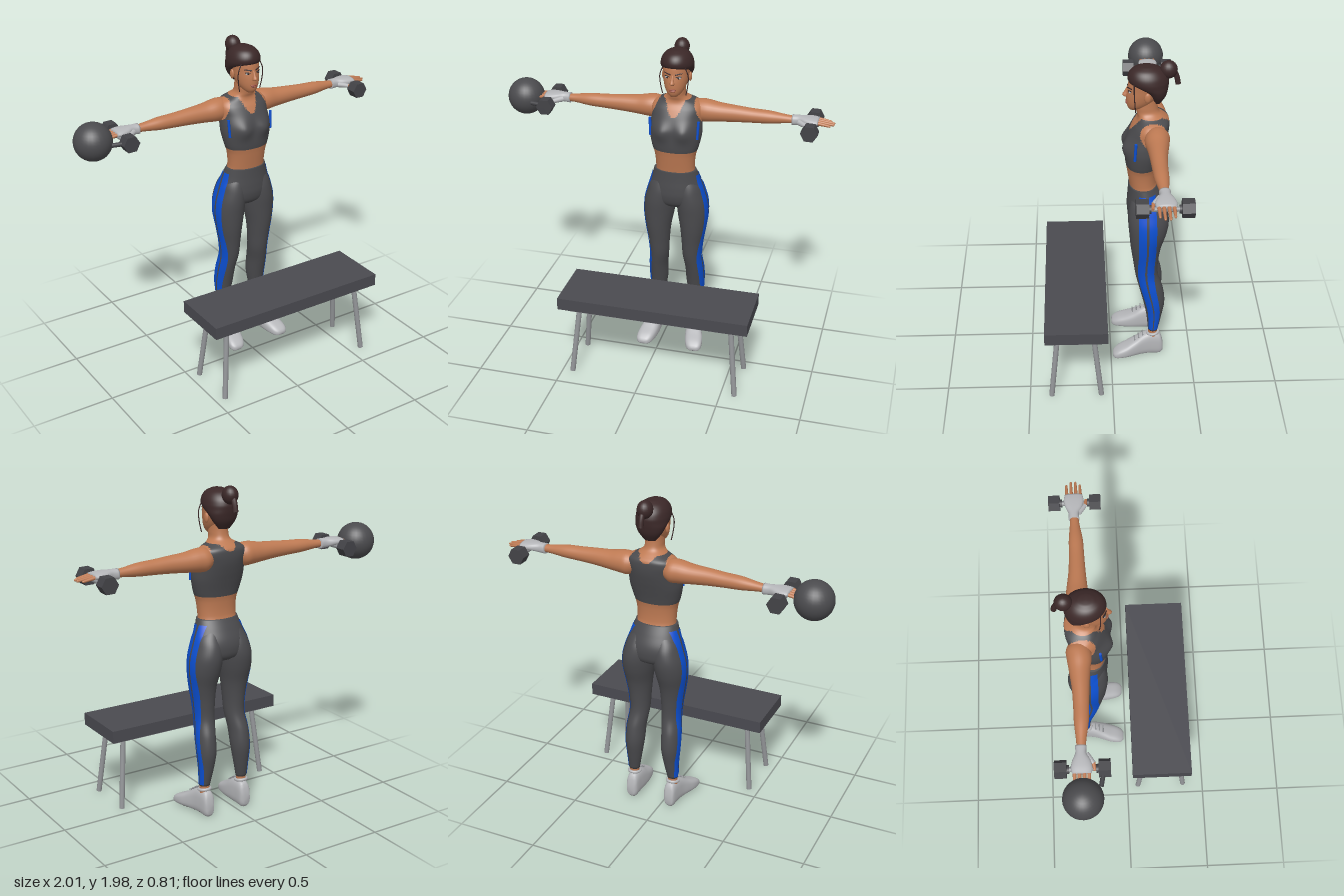
import * as THREE from 'three';

const mat = (name, color, side = THREE.FrontSide) => {
  const m = new THREE.MeshStandardMaterial({ color, side });
  m.name = name;
  return m;
};

// Smooth interpolation of section rows [t, a0, a1, b0, b1]; a 4-value row means b is -w..w
function section(rows, t) {
  const R = rows.map(r => (r.length === 4 ? [r[0], r[1], r[2], -r[3], r[3]] : r));
  let i = 0;
  while (i < R.length - 2 && t > R[i + 1][0]) i++;
  const h = R[i + 1][0] - R[i][0], u = (t - R[i][0]) / h, u2 = u * u, u3 = u2 * u;
  const slope = (k, c) => {
    const p = R[Math.max(k - 1, 0)], q = R[Math.min(k + 1, R.length - 1)];
    return (q[c] - p[c]) / (q[0] - p[0]);
  };
  return [1, 2, 3, 4].map(c => (2 * u3 - 3 * u2 + 1) * R[i][c] + (u3 - 2 * u2 + u) * h * slope(i, c)
    + (3 * u2 - 2 * u3) * R[i + 1][c] + (u3 - u2) * h * slope(i + 1, c));
}

// Closed loft along an axis through rounded sections (axis y: a = z, b = x; x: a = y, b = z; z: a = x, b = y)
function loft(axis, rows, rings = 32, segs = 32, exp = 2) {
  const pos = [], idx = [];
  const put = (t, a, b) => pos.push(...(axis === 'y' ? [b, t, a] : axis === 'x' ? [t, a, b] : [a, b, t]));
  const t0 = rows[0][0], t1 = rows[rows.length - 1][0];
  const bend = v => Math.sign(v) * Math.abs(v) ** (2 / exp);
  for (let i = 0; i <= rings; i++) {
    const t = t0 + (t1 - t0) * i / rings, [a0, a1, b0, b1] = section(rows, t);
    for (let j = 0; j < segs; j++) {
      const w = j / segs * Math.PI * 2;
      put(t, (a0 + a1) / 2 + (a1 - a0) / 2 * bend(Math.cos(w)), (b0 + b1) / 2 + (b1 - b0) / 2 * bend(Math.sin(w)));
    }
  }
  for (let i = 0; i < rings; i++) for (let j = 0; j < segs; j++) {
    const p = i * segs + j, q = i * segs + (j + 1) % segs;
    idx.push(p, q, q + segs, p, q + segs, p + segs);
  }
  const n = (rings + 1) * segs, top = rings * segs;
  for (const t of [t0, t1]) {
    const [a0, a1, b0, b1] = section(rows, t);
    put(t, (a0 + a1) / 2, (b0 + b1) / 2);
  }
  for (let j = 0; j < segs; j++) {
    const k = (j + 1) % segs;
    idx.push(n, k, j, n + 1, top + j, top + k);
  }
  const g = new THREE.BufferGeometry();
  g.setAttribute('position', new THREE.Float32BufferAttribute(pos, 3));
  g.setIndex(idx);
  g.computeVertexNormals();
  return g;
}

// Sorts triangles into two material groups by a rule on centre and normal
function paint(g, rule) {
  const sets = [[], []], ix = g.index.array, P = g.attributes.position;
  const v = [0, 1, 2].map(() => new THREE.Vector3()), tri = new THREE.Triangle(...v);
  const c = new THREE.Vector3(), nrm = new THREE.Vector3();
  for (let i = 0; i < ix.length; i += 3) {
    v.forEach((p, k) => p.fromBufferAttribute(P, ix[i + k]));
    tri.setFromPointsAndIndices(v, 0, 1, 2);
    tri.getMidpoint(c); tri.getNormal(nrm);
    sets[rule(c, nrm) ? 1 : 0].push(ix[i], ix[i + 1], ix[i + 2]);
  }
  g.setIndex([...sets[0], ...sets[1]]);
  g.addGroup(0, sets[0].length, 0);
  g.addGroup(sets[0].length, sets[1].length, 1);
  return g;
}

function mirrored(geo) {
  const g = geo.clone().scale(-1, 1, 1), ix = g.index.array;
  for (let i = 0; i < ix.length; i += 3) [ix[i + 1], ix[i + 2]] = [ix[i + 2], ix[i + 1]];
  return g;
}

function rod(p, q, r0, r1 = r0, sides = 14) {
  const a = new THREE.Vector3(...p), b = new THREE.Vector3(...q), d = b.clone().sub(a);
  const g = new THREE.CylinderGeometry(r1, r0, d.length(), sides);
  g.applyQuaternion(new THREE.Quaternion().setFromUnitVectors(new THREE.Vector3(0, 1, 0), d.normalize()));
  return g.translate(...a.add(b).multiplyScalar(0.5).toArray());
}
const blob = (x, y, z, a, b, c) => new THREE.SphereGeometry(1, 20, 14).scale(a, b, c).translate(x, y, z);
const box = (x0, x1, y0, y1, z0, z1) =>
  new THREE.BoxGeometry(x1 - x0, y1 - y0, z1 - z0).translate((x0 + x1) / 2, (y0 + y1) / 2, (z0 + z1) / 2);

export function createModel() {
  const skin = mat('skin', 0xbe7a53), hairMat = mat('hair', 0x3b2828), fabric = mat('fabric', 0x4b4b4e);
  const blue = mat('blue trim', 0x0c4fd0, THREE.DoubleSide), pale = mat('pale grey', 0xb5b6b9);
  const steel = mat('steel', 0x929497), pad = mat('bench padding', 0x4a4a50), iron = mat('iron', 0x434347);
  const lip = mat('lips', 0x9c5345), dark = mat('dark rubber', 0x2a2223);

  const model = new THREE.Group(), figure = new THREE.Group(), bench = new THREE.Group();
  figure.name = 'athlete'; bench.name = 'bench';
  figure.position.x = 0.07;
  model.add(figure, bench);
  const add = (name, geo, m, parent = figure) => {
    const mesh = new THREE.Mesh(geo, m);
    mesh.name = name;
    parent.add(mesh);
  };
  const pair = (name, geo, m) => {
    add('left ' + name, geo, m);
    add('right ' + name, mirrored(geo), m);
  };

  // Bench
  add('seat', box(-0.51, 0.65, 0.45, 0.525, 0.03, 0.4), pad, bench);
  for (const z of [0.1, 0.32]) add('long rail', box(-0.46, 0.61, 0.415, 0.45, z, z + 0.03), steel, bench);
  for (const x of [-0.46, 0.58]) add('end rail', box(x, x + 0.03, 0.415, 0.45, 0.13, 0.32), steel, bench);
  for (const s of [-1, 1]) for (const k of [-1, 1])
    add('bench leg', rod([0.073 + s * 0.51, 0, 0.22 + k * 0.15], [0.073 + s * 0.468, 0.425, 0.22 + k * 0.106], 0.016), steel, bench);

  // Torso with sports top
  const torso = loft('y', [
    [1.17, -0.28, -0.115, 0.122], [1.22, -0.267, -0.108, 0.118], [1.3, -0.268, -0.095, 0.125],
    [1.36, -0.28, -0.085, 0.143], [1.43, -0.3, -0.083, 0.157], [1.48, -0.315, -0.086, 0.157],
    [1.54, -0.33, -0.105, 0.152], [1.59, -0.335, -0.13, 0.155], [1.62, -0.33, -0.15, 0.135],
    [1.643, -0.305, -0.155, 0.085], [1.665, -0.278, -0.148, 0.058], [1.7, -0.267, -0.142, 0.052],
    [1.77, -0.265, -0.15, 0.05]], 110, 80, 2.2);
  const tp = torso.attributes.position;
  for (let i = 0; i < tp.count; i++) {
    const x = Math.abs(tp.getX(i)), y = tp.getY(i), z = tp.getZ(i);
    if (z > -0.2) tp.setZ(i, z + 0.024 * Math.exp(-((x - 0.07) ** 2) / 0.0025 - ((y - 1.46) ** 2) / 0.003));
  }
  torso.computeVertexNormals();
  const isTop = ({ x, y, z }) => {
    const ax = Math.abs(x), neck = z > -0.22 ? 1.55 + 28 * x * x : 1.605 + 14 * x * x;
    return y > 1.335 && y < Math.min(neck, 1.645) && (y < 1.51 || ax < 0.155 - (y - 1.51) * 0.4);
  };
  add('torso and sports top', paint(torso, isTop), [skin, fabric]);
  pair('side trim', rod([0.142, 1.42, -0.135], [0.148, 1.53, -0.14], 0.008, 0.008), blue);

  // Leggings
  const hips = [
    [0.955, -0.29, -0.14, 0.09], [0.98, -0.325, -0.115, 0.16], [1.03, -0.338, -0.1, 0.174], [1.08, -0.332, -0.099, 0.167],
    [1.14, -0.305, -0.103, 0.148], [1.2, -0.272, -0.106, 0.13]];
  const leg = [
    [0.19, -0.292, -0.232, 0.098, 0.164], [0.3, -0.315, -0.22, 0.077, 0.168], [0.4, -0.33, -0.2, 0.062, 0.175],
    [0.5, -0.318, -0.175, 0.058, 0.173], [0.6, -0.287, -0.15, 0.046, 0.164], [0.7, -0.286, -0.135, 0.04, 0.172],
    [0.8, -0.3, -0.12, 0.03, 0.188], [0.9, -0.33, -0.11, 0.012, 0.2], [0.98, -0.343, -0.103, 0.004, 0.195],
    [1.05, -0.333, -0.105, 0.003, 0.176], [1.1, -0.31, -0.115, 0.008, 0.158], [1.15, -0.28, -0.13, 0.012, 0.12]];
  add('hips', loft('y', hips, 40, 56), fabric);
  pair('leg', loft('y', leg, 64, 40), fabric);

  // Side stripes laid just over the outer surface of hip and leg
  const outer = (rows, y, z) => {
    if (y < rows[0][0] || y > rows[rows.length - 1][0]) return 0;
    const [a0, a1, b0, b1] = section(rows, y), u = (2 * z - a0 - a1) / (a1 - a0);
    return (b0 + b1) / 2 + (b1 - b0) / 2 * Math.sqrt(Math.max(0, 1 - u * u));
  };
  const path = [[0.2, -0.29, -0.234, 0.003], [0.35, -0.3, -0.225, 0.004], [0.6, -0.262, -0.165, 0.006],
    [0.8, -0.268, -0.166, 0.006], [1, -0.268, -0.162, 0.007], [1.17, -0.258, -0.163, 0.008]];
  for (const k of [0, 1]) {
    const pos = [], idx = [], n = 70, m = 5;
    for (let i = 0; i <= n; i++) for (let j = 0; j <= m; j++) {
      const y = 0.2 + 0.97 * i / n, [z0, z1, , gap] = section(path, y), mid = (z0 + z1) / 2;
      const z = k ? mid + gap + (z1 - mid - gap) * j / m : z0 + (mid - gap - z0) * j / m;
      pos.push(Math.max(outer(hips, y, z), outer(leg, y, z)) + 0.004, y, z);
      if (i < n && j < m) {
        const p = i * (m + 1) + j, q = p + m + 1;
        idx.push(p, q, q + 1, p, q + 1, p + 1);
      }
    }
    const g = new THREE.BufferGeometry();
    g.setAttribute('position', new THREE.Float32BufferAttribute(pos, 3));
    g.setIndex(idx);
    g.computeVertexNormals();
    pair('leg stripe', g, blue);
  }

  // Ankles and shoes
  pair('ankle', loft('y', [[0.1, -0.295, -0.23, 0.1, 0.162], [0.22, -0.288, -0.235, 0.102, 0.16]], 4, 20), skin);
  const shoe = loft('z', [
    [-0.325, 0.105, 0.155, 0.02, 0.09], [-0.31, 0.093, 0.163, 0, 0.145], [-0.25, 0.088, 0.17, 0, 0.165],
    [-0.2, 0.086, 0.178, 0, 0.15], [-0.15, 0.087, 0.193, 0, 0.118], [-0.1, 0.094, 0.208, 0, 0.09],
    [-0.05, 0.108, 0.212, 0, 0.066], [-0.025, 0.123, 0.205, 0.002, 0.048], [-0.013, 0.14, 0.19, 0.01, 0.035]], 40, 32, 2.8);
  pair('shoe', paint(shoe, (c, n) => n.y < -0.75 && c.y < 0.02), [pale, dark]);
  pair('shoe collar', new THREE.TorusGeometry(0.034, 0.009, 10, 24).rotateX(Math.PI / 2 + 0.15).translate(0.131, 0.165, -0.262), pale);
  for (let i = 0; i < 3; i++)
    pair('shoe lace', rod([0.112 + i * 0.004, 0.157 - i * 0.017, -0.198 + i * 0.025], [0.157 + i * 0.004, 0.157 - i * 0.017, -0.198 + i * 0.025], 0.004), steel);

  // Arms, gloves and fingers
  pair('arm', loft('x', [
    [0.08, 1.52, 1.61, -0.3, -0.2], [0.13, 1.495, 1.63, -0.328, -0.19], [0.18, 1.495, 1.63, -0.325, -0.187],
    [0.25, 1.502, 1.618, -0.315, -0.197], [0.35, 1.51, 1.61, -0.302, -0.205], [0.45, 1.516, 1.602, -0.297, -0.21],
    [0.55, 1.521, 1.597, -0.295, -0.215], [0.64, 1.531, 1.584, -0.287, -0.23], [0.71, 1.536, 1.576, -0.283, -0.238]], 48, 28), skin);
  pair('glove', loft('x', [
    [0.68, 1.525, 1.585, -0.293, -0.23], [0.72, 1.528, 1.585, -0.293, -0.232], [0.76, 1.535, 1.585, -0.31, -0.212],
    [0.8, 1.54, 1.583, -0.318, -0.203], [0.835, 1.546, 1.578, -0.312, -0.208]], 20, 24, 2.4), pale);
  [[-0.299, 0.9], [-0.273, 0.92], [-0.246, 0.92], [-0.221, 0.9]].forEach(([z, tip]) => {
    pair('finger', rod([0.82, 1.563, z], [tip, 1.55, z - 0.002], 0.011, 0.007, 10), skin);
    pair('fingertip', blob(tip, 1.55, z - 0.002, 0.009, 0.007, 0.007), skin);
  });
  pair('thumb base', rod([0.725, 1.552, -0.235], [0.775, 1.545, -0.196], 0.018, 0.013, 12), pale);
  pair('thumb tip', rod([0.772, 1.545, -0.197], [0.815, 1.538, -0.19], 0.011, 0.008, 10), skin);

  // Dumbbells and ball
  pair('dumbbell handle', rod([0.8, 1.53, -0.36], [0.8, 1.53, -0.14], 0.014), steel);
  for (const z of [-0.375, -0.138]) {
    const head = new THREE.CylinderGeometry(0.051, 0.051, 0.066, 6).toNonIndexed();
    head.computeVertexNormals();
    head.setIndex([...Array(head.attributes.position.count).keys()]);
    pair('dumbbell weight', head.rotateY(Math.PI / 2).rotateX(Math.PI / 2).rotateZ(Math.PI / 2 + 0.08).rotateZ(0.42).translate(0.8, 1.535, z), iron);
    const inner = z < -0.25 ? z + 0.038 : z - 0.038;
    pair('dumbbell collar', rod([0.8, 1.53, inner - 0.008], [0.8, 1.53, inner + 0.008], 0.024), iron);
  }
  add('exercise ball', new THREE.SphereGeometry(0.112, 28, 20).translate(-0.897, 1.54, -0.258), fabric, model);
  add('ball peg', rod([-0.83, 1.535, -0.16], [-0.77, 1.535, -0.148], 0.013), iron, model);

  // Head and face
  add('head', loft('y', [
    [1.683, -0.15, -0.108, 0.022], [1.7, -0.2, -0.096, 0.042], [1.73, -0.24, -0.09, 0.06], [1.77, -0.275, -0.09, 0.072],
    [1.81, -0.29, -0.096, 0.078], [1.865, -0.3, -0.104, 0.082], [1.91, -0.28, -0.125, 0.066], [1.93, -0.25, -0.15, 0.04]], 40, 40), skin);
  add('nose', loft('y', [
    [1.76, -0.1, -0.085, 0.011], [1.77, -0.1, -0.067, 0.014], [1.79, -0.1, -0.077, 0.009], [1.82, -0.11, -0.092, 0.006]], 14, 16), skin);
  add('upper lip', blob(0, 1.732, -0.093, 0.023, 0.005, 0.008), lip);
  add('lower lip', blob(0, 1.723, -0.094, 0.019, 0.006, 0.008), lip);
  pair('eye', blob(0.033, 1.803, -0.108, 0.015, 0.007, 0.007), pale);
  pair('iris', blob(0.033, 1.803, -0.103, 0.006, 0.006, 0.004), dark);
  pair('eyelid', rod([0.017, 1.807, -0.1], [0.05, 1.811, -0.113], 0.003), dark);
  pair('eyebrow', rod([0.014, 1.822, -0.097], [0.055, 1.829, -0.117], 0.004, 0.0025), hairMat);
  pair('ear', blob(0.08, 1.785, -0.205, 0.01, 0.029, 0.018), skin);

  // Hair, bun and loose strands
  add('hair', loft('y', [
    [1.725, -0.285, -0.245, 0.035], [1.77, -0.312, -0.215, 0.07], [1.81, -0.322, -0.18, 0.089], [1.84, -0.326, -0.122, 0.096],
    [1.865, -0.326, -0.097, 0.097], [1.9, -0.312, -0.1, 0.087], [1.93, -0.28, -0.125, 0.063], [1.947, -0.24, -0.165, 0.028]], 44, 44), hairMat);
  add('bun', blob(0, 1.922, -0.323, 0.045, 0.052, 0.05), hairMat);
  const tail = new THREE.CatmullRomCurve3([[-0.345, 1.93], [-0.368, 1.88], [-0.378, 1.835]].map(([z, y]) => new THREE.Vector3(0, y, z)));
  add('bun tail', new THREE.TubeGeometry(tail, 10, 0.016, 10), hairMat);
  const strand = new THREE.CatmullRomCurve3([[0.06, 1.87, -0.13], [0.084, 1.81, -0.13], [0.08, 1.74, -0.135], [0.07, 1.69, -0.14]].map(p => new THREE.Vector3(...p)));
  pair('hair strand', new THREE.TubeGeometry(strand, 16, 0.003, 6), hairMat);

  return model;
}
